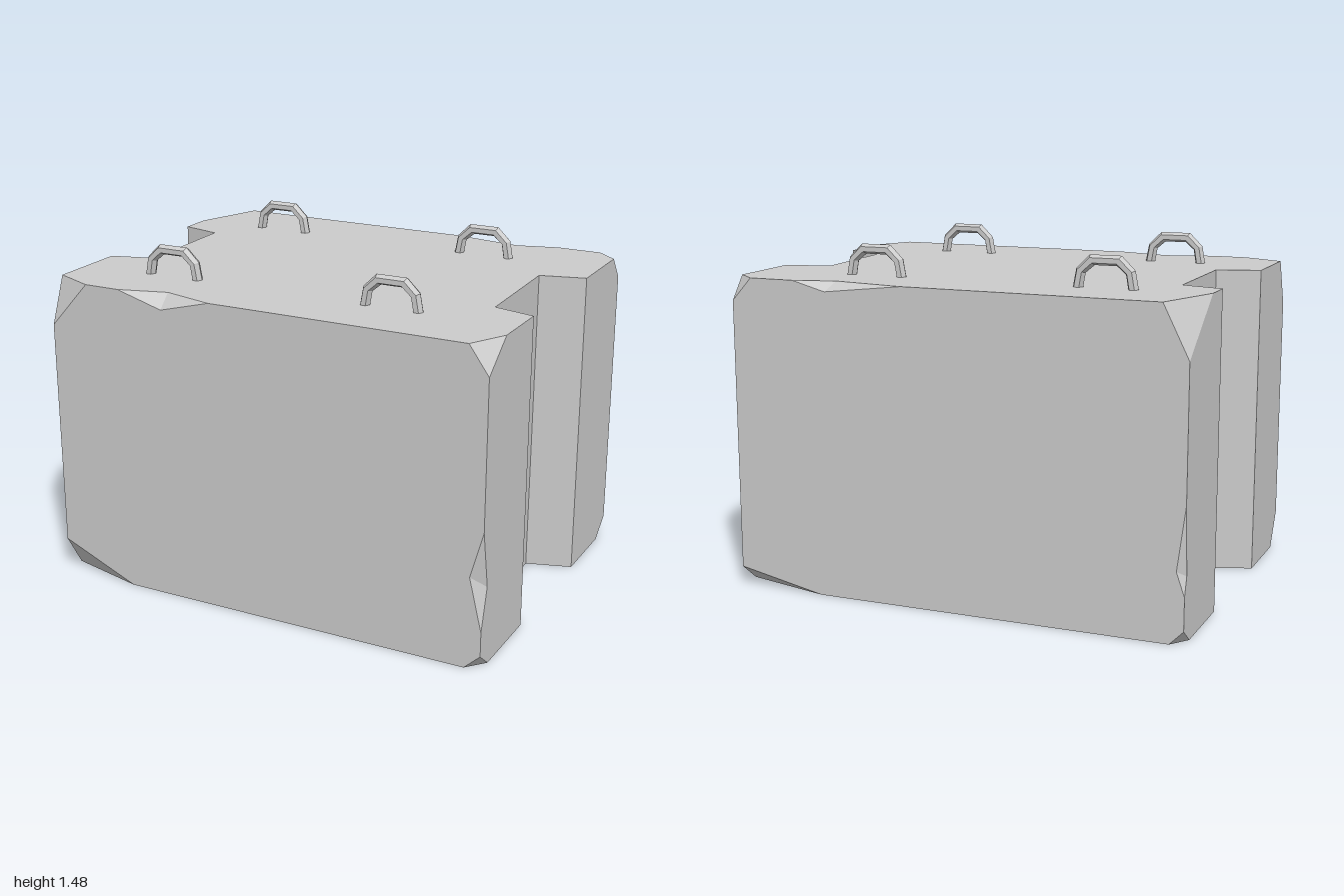
import * as THREE from 'three';

const H = 1.35, W = 1, D = 0.75;
const material = new THREE.MeshStandardMaterial({ color: 0xcccccc, flatShading: true, side: THREE.DoubleSide });
const v = (x, y, z) => new THREE.Vector3(x, y, z);

function toGeometry(points) {
  const geometry = new THREE.BufferGeometry().setFromPoints(points);
  geometry.computeVertexNormals();
  return geometry;
}

// Triangulates a polygon and turns every triangle towards the outward direction
function addFace(out, loop, outward) {
  const u = Math.abs(outward.y) > 0.9 ? v(1, 0, 0) : v(0, 1, 0).cross(outward).normalize();
  const w = outward.clone().cross(u).normalize();
  const flat = loop.map(p => new THREE.Vector2(p.dot(u), p.dot(w)));
  for (const t of THREE.ShapeUtils.triangulateShape(flat, [])) {
    const [a, b, c] = t.map(i => loop[i]);
    const n = b.clone().sub(a).cross(c.clone().sub(a));
    out.push(...(n.dot(outward) < 0 ? [a, c, b] : [a, b, c]));
  }
}

// A broken corner: its cut points along the x, y and z edges
function corner(sx, top, sz, dx, dy, dz) {
  const y = top ? H : 0, sy = top ? -1 : 1;
  return {
    x: v(sx * (W - dx), y, sz * D),
    y: v(sx * W, y + sy * dy, sz * D),
    z: v(sx * W, y, sz * (D - dz)),
    out: v(sx, -sy, sz).normalize(),
  };
}

function blockGeometry() {
  const tris = [];
  const face = (loop, x, y, z) => addFace(tris, loop, v(x, y, z).normalize());

  // Corners: f/b front or back, t/b top or bottom, L/R model's left (+x) or right (-x)
  const ftL = corner(1, true, 1, 0.085, 0.12, 0.16);
  const ftR = corner(-1, true, 1, 0.18, 0.2, 0.08);
  const fbL = corner(1, false, 1, 0.07, 0.065, 0.08);
  const fbR = corner(-1, false, 1, 0.35, 0.15, 0.09);
  const btL = corner(1, true, -1, 0.09, 0.1, 0.08);
  const btR = corner(-1, true, -1, 0.11, 0.22, 0.3);
  const bbL = corner(1, false, -1, 0.39, 0.08, 0.1);
  const bbR = corner(-1, false, -1, 0.06, 0.06, 0.08);
  for (const c of [ftL, ftR, fbL, fbR, btL, btR, bbL, bbR]) addFace(tris, [c.x, c.y, c.z], c.out);

  // Chipped edges: ends a and b, with apex p on the front or back and q on the adjoining face
  const chipTopFront = { a: v(-0.66, H, D), b: v(-0.22, H, D), p: v(-0.45, 1.29, D), q: v(-0.45, H, 0.69), out: v(0, 1, 1) };
  const chipTopBack = { a: v(0.71, H, -D), b: v(0.21, H, -D), p: v(0.56, 1.31, -D), q: v(0.53, H, -0.7), out: v(0, 1, -1) };
  const chipLeft = { a: v(W, 0.17, D), b: v(W, 0.6, D), p: v(0.945, 0.4, D), q: v(W, 0.35, 0.7), out: v(1, 0, 1) };
  const chipRight = { a: v(-W, 0.2, -D), b: v(-W, 0.57, -D), p: v(-0.965, 0.3, -D), q: v(-W, 0.28, -0.725), out: v(-1, 0, -1) };
  for (const c of [chipTopFront, chipTopBack, chipLeft, chipRight]) {
    c.out.normalize();
    addFace(tris, [c.a, c.p, c.q], c.out);
    addFace(tris, [c.b, c.p, c.q], c.out);
  }

  // Vertical side grooves: four points from front to back
  const groove = (y, s, xf, zf, xb, zb) =>
    [v(s * W, y, 0.31), v(s * xf, y, zf), v(s * xb, y, zb), v(s * W, y, -0.31)];
  const gtL = groove(H, 1, 0.82, 0.265, 0.805, -0.26);
  const gbL = groove(0, 1, 0.82, 0.25, 0.805, -0.25);
  const gtR = groove(H, -1, 0.815, 0.255, 0.82, -0.265);
  const gbR = groove(0, -1, 0.815, 0.245, 0.825, -0.25);
  for (const [t, b, s] of [[gtL, gbL, 1], [gtR, gbR, -1]]) {
    face([t[0], t[1], b[1], b[0]], s * 0.3, 0, -1);
    face([t[1], t[2], b[2], b[1]], s, 0, 0);
    face([t[2], t[3], b[3], b[2]], s * 0.3, 0, 1);
  }

  // Front and back
  face([fbR.x, fbL.x, fbL.y, chipLeft.a, chipLeft.p, chipLeft.b, ftL.y, ftL.x,
    chipTopFront.b, chipTopFront.p, chipTopFront.a, ftR.x, ftR.y, fbR.y], 0, 0, 1);
  face([bbL.x, bbR.x, bbR.y, chipRight.a, chipRight.p, chipRight.b, btR.y, btR.x,
    chipTopBack.b, chipTopBack.p, chipTopBack.a, btL.x, btL.y, bbL.y], 0, 0, -1);

  // Top and bottom
  face([ftR.x, chipTopFront.a, chipTopFront.q, chipTopFront.b, ftL.x, ftL.z, ...gtL, btL.z, btL.x,
    chipTopBack.a, chipTopBack.q, chipTopBack.b, btR.x, btR.z, ...gtR.slice().reverse(), ftR.z], 0, 1, 0);
  face([fbR.x, fbL.x, fbL.z, ...gbL, bbL.z, bbL.x, bbR.x, bbR.z, ...gbR.slice().reverse(), fbR.z], 0, -1, 0);

  // Side faces beside the grooves
  face([fbL.z, gbL[0], gtL[0], ftL.z, ftL.y, chipLeft.b, chipLeft.q, chipLeft.a, fbL.y], 1, 0, 0);
  face([bbL.z, gbL[3], gtL[3], btL.z, btL.y, bbL.y], 1, 0, 0);
  face([fbR.z, gbR[0], gtR[0], ftR.z, ftR.y, fbR.y], -1, 0, 0);
  face([bbR.z, gbR[3], gtR[3], btR.z, btR.y, chipRight.b, chipRight.q, chipRight.a, bbR.y], -1, 0, 0);
  return toGeometry(tris);
}

// Lifting loop: a hexagonal bar swept between an outer and an inner outline
function loopGeometry() {
  const mirrored = half => [...half, ...half.slice().reverse().map(([x, y]) => [-x, y])];
  const outer = mirrored([[-0.139, 0], [-0.125, 0.075], [-0.067, 0.132]]);
  const inner = mirrored([[-0.095, 0], [-0.085, 0.058], [-0.047, 0.09]]);
  const rings = outer.map(([ox, oy], i) => {
    const [ix, iy] = inner[i];
    return Array.from({ length: 6 }, (_, k) => {
      const a = k * Math.PI / 3, t = (1 + Math.cos(a)) / 2;
      return v(ix + (ox - ix) * t, iy + (oy - iy) * t, 0.026 * Math.sin(a));
    });
  });
  const tris = [];
  for (let i = 0; i < rings.length - 1; i++) {
    for (let k = 0; k < 6; k++) {
      const n = (k + 1) % 6;
      const a = rings[i][k], b = rings[i][n], c = rings[i + 1][n], d = rings[i + 1][k];
      tris.push(a, b, c, a, c, d);
    }
  }
  return toGeometry(tris);
}

export function createModel() {
  const model = new THREE.Group();
  model.name = 'concreteBlock';

  const block = new THREE.Mesh(blockGeometry(), material);
  block.name = 'chippedBlock';
  model.add(block);

  // Four lifting loops on the top
  const loop = loopGeometry();
  for (const [x, nameX] of [[-0.565, 'Right'], [0.46, 'Left']]) {
    for (const [z, nameZ] of [[0.467, 'front'], [-0.475, 'back']]) {
      const mesh = new THREE.Mesh(loop, material);
      mesh.name = `${nameZ}${nameX}LiftingLoop`;
      mesh.position.set(x, H, z);
      model.add(mesh);
    }
  }
  return model;
}
